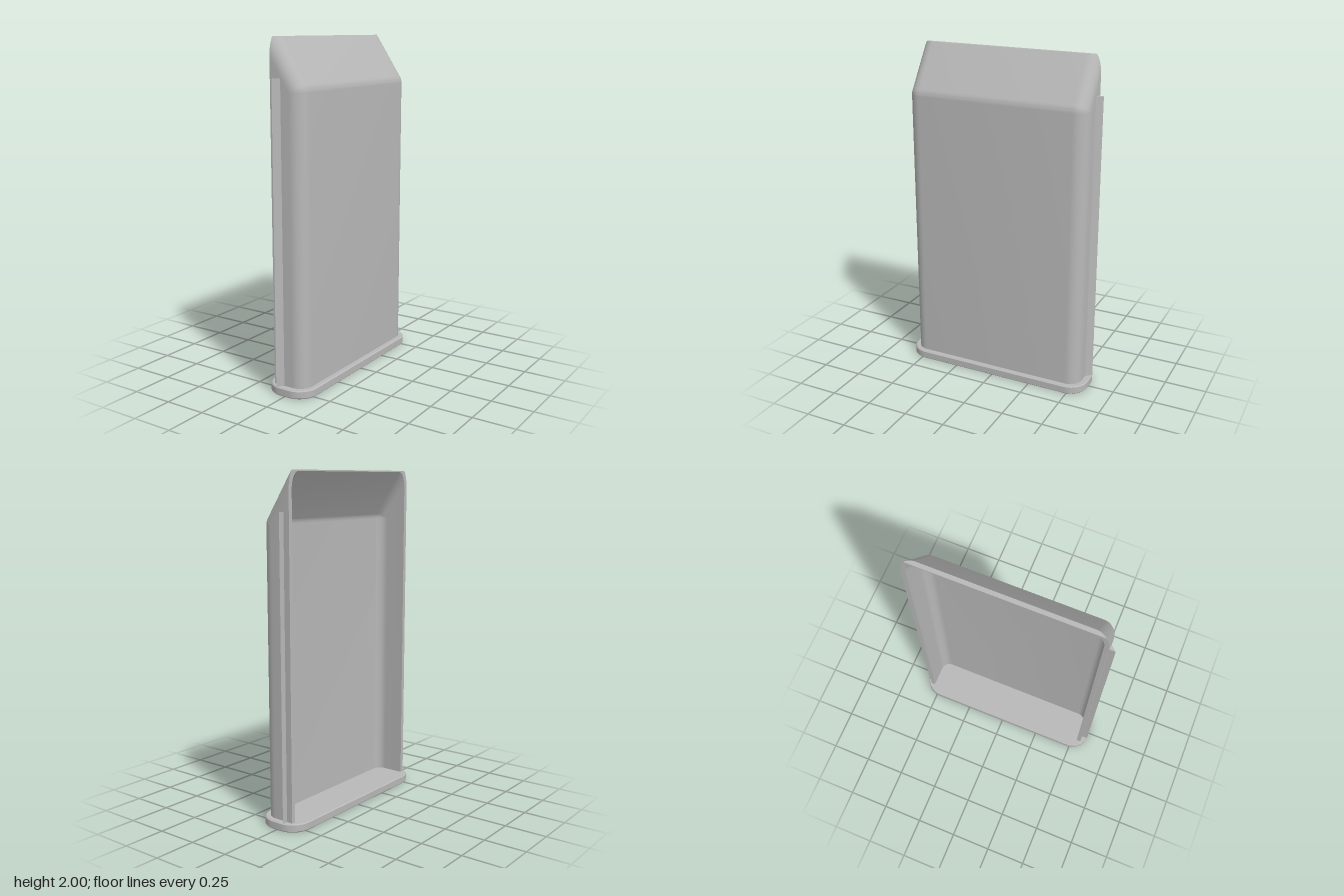
import * as THREE from 'three';
import { toCreasedNormals } from 'three/addons/utils/BufferGeometryUtils.js';

const BACK = -0.09, TOP = 2, FLOOR = 0.05;   // open side, top edge, top of the base
const R = 0.08, WALL = 0.025;                // outer fillet and wall thickness
const CORE_X = 0.035, CORE_Y = 1.706, CORE_Z = 0.48;
const TILT = Math.atan2(0.555, 0.832);       // direction of the slope's normal

// Wall, rounded corner and slope in x/y, at distance d from the core line
function profile(d) {
  const pts = [[CORE_X + d, FLOOR]];
  for (let k = 0; k <= 6; k++) {
    const a = (TILT * k) / 6;
    pts.push([CORE_X + d * Math.cos(a), CORE_Y + d * Math.sin(a)]);
  }
  const [x, y] = pts[pts.length - 1];
  const rise = 1 / Math.tan(TILT);
  const endY = Math.min(TOP, y + (x - BACK) * rise);
  pts.push([x - (endY - y) / rise, endY], [BACK, endY]);
  return pts;
}

// Closed section: up the outside, over the rim and down the inside
function section(phi, side, flatten) {
  const layer = (r) => profile(r * Math.cos(phi)).map(([x, y]) =>
    new THREE.Vector3(flatten ? BACK : x, y, side * (CORE_Z + r * Math.sin(phi))));
  return [...layer(R), ...layer(R - WALL).reverse()];
}

function shellGeometry() {
  const half = (side) => {
    const cols = [section(Math.PI / 2, side, true)];
    for (let k = 10; k >= 0; k--) cols.push(section((Math.PI / 2) * (k / 10), side, false));
    return cols;
  };
  const cols = [...half(1), ...half(-1).reverse()];
  const pos = [];
  const tri = (a, b, c) => {
    const area = b.clone().sub(a).cross(c.clone().sub(a)).length();
    if (area > 1e-9) pos.push(...a.toArray(), ...b.toArray(), ...c.toArray());
  };
  const quad = (a, b, c, d) => { tri(a, b, c); tri(a, c, d); };
  const n = cols[0].length;
  for (let j = 0; j < cols.length - 1; j++) {
    const p = cols[j], q = cols[j + 1];
    for (let i = 0; i < n - 1; i++) quad(p[i], q[i], q[i + 1], p[i + 1]);
  }
  // Upright rims of the two side walls
  const first = cols[0], last = cols[cols.length - 1];
  for (let i = 0; i < n / 2 - 1; i++) {
    const m = n - 1 - i;
    quad(last[i], last[m], last[m - 1], last[i + 1]);
    quad(first[i], first[i + 1], first[m - 1], first[m]);
  }
  const geo = new THREE.BufferGeometry();
  geo.setAttribute('position', new THREE.Float32BufferAttribute(pos, 3));
  return toCreasedNormals(geo, 0.45);
}

// Rounded plate with a small bevel, lying flat
function baseGeometry() {
  const b = 0.006, w = 0.146 - b, l = 0.595 - b, r = 0.11;
  const s = new THREE.Shape();
  s.absarc(w - r, l - r, r, 0, Math.PI / 2);
  s.absarc(r - w, l - r, r, Math.PI / 2, Math.PI);
  s.absarc(r - w, r - l, r, Math.PI, Math.PI * 1.5);
  s.absarc(w - r, r - l, r, Math.PI * 1.5, Math.PI * 2);
  const geo = new THREE.ExtrudeGeometry(s, {
    depth: FLOOR - 2 * b, bevelThickness: b, bevelSize: b, bevelSegments: 1, curveSegments: 10,
  });
  geo.rotateX(-Math.PI / 2).translate(0, b, 0);
  return toCreasedNormals(geo, 0.5);
}

// Triangular rib standing against a side wall
function ribGeometry(side) {
  const s = new THREE.Shape([[-0.052, 0.555], [-0.052, 0.595], [-0.021, 0.56], [-0.021, 0.555]]
    .map(([x, z]) => new THREE.Vector2(x, -z * side)));
  const geo = new THREE.ExtrudeGeometry(s, { depth: 1.78 - FLOOR, bevelEnabled: false });
  return geo.rotateX(-Math.PI / 2).translate(0, FLOOR, 0);
}

export function createModel() {
  const group = new THREE.Group();
  const grey = new THREE.MeshStandardMaterial({ color: 0xb8b8b8 });
  grey.name = 'light grey';
  const add = (name, geo) => {
    const mesh = new THREE.Mesh(geo, grey);
    mesh.name = name;
    group.add(mesh);
  };
  add('base', baseGeometry());
  add('shell', shellGeometry());
  add('leftRib', ribGeometry(1));
  add('rightRib', ribGeometry(-1));
  return group;
}
